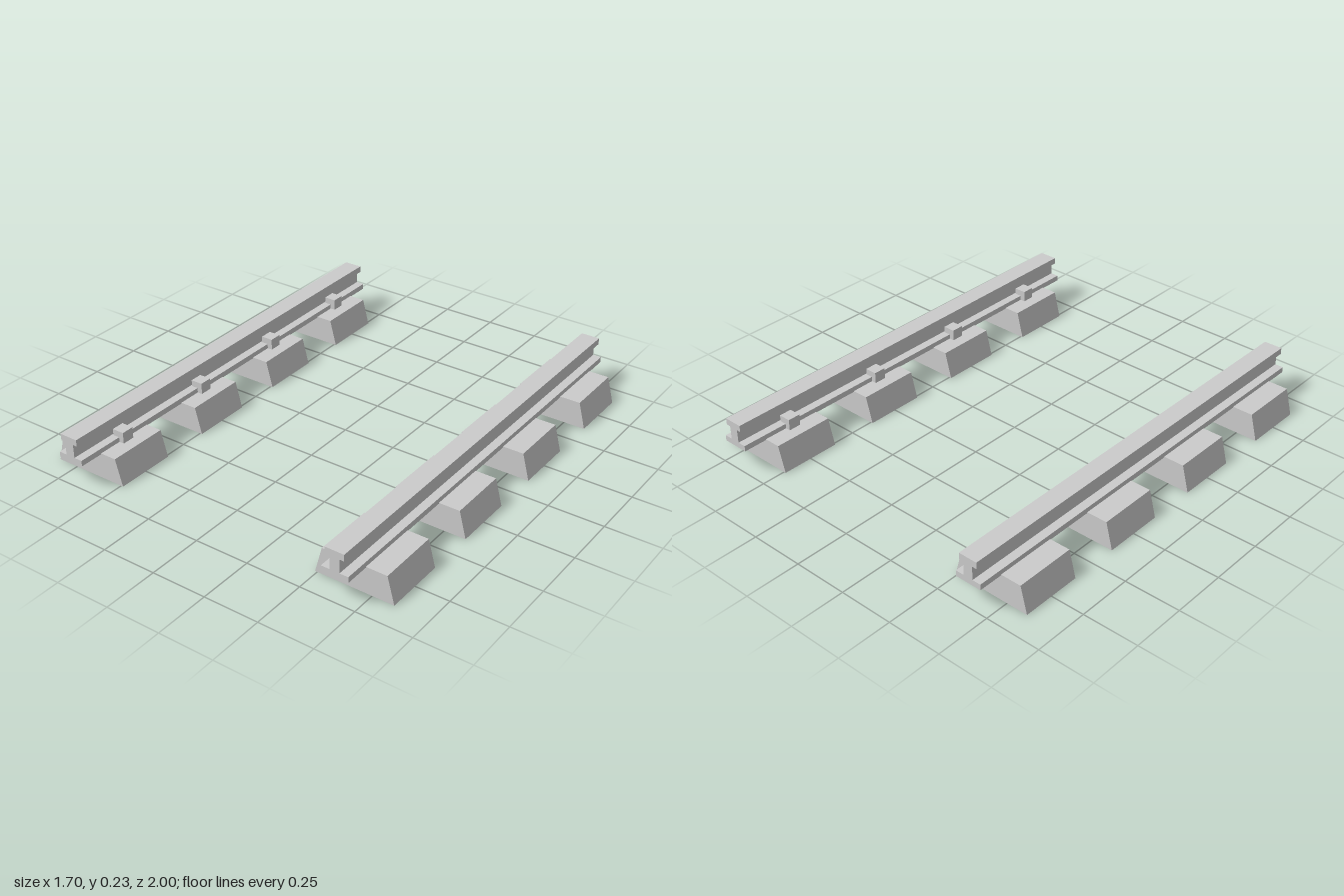
import * as THREE from 'three';

const material = new THREE.MeshStandardMaterial({ color: 0xcccccc, flatShading: true });

// Extrudes an x-y outline along z, centred on z = 0
function prism(points, length) {
  const shape = new THREE.Shape(points.map(([x, y]) => new THREE.Vector2(x, y)));
  const geometry = new THREE.ExtrudeGeometry(shape, { depth: length, bevelEnabled: false });
  return geometry.translate(0, 0, -length / 2);
}

function addPart(parent, name, geometry, x, y, z) {
  const mesh = new THREE.Mesh(geometry, material);
  mesh.name = name;
  mesh.position.set(x, y, z);
  parent.add(mesh);
}

// Right half of the rail section, bottom to top; mirrored for the left half
const halfRail = [[0.061, 0.117], [0.061, 0.143], [0.022, 0.143], [0.022, 0.205], [0.043, 0.205], [0.043, 0.235]];
const railOutline = [...halfRail, ...halfRail.map(([x, y]) => [-x, y]).reverse()];
const blockOutline = [[-0.179, 0], [0.179, 0], [0.147, 0.121], [-0.147, 0.121]];

export function createModel() {
  const model = new THREE.Group();
  model.name = 'railTrack';

  const railGeometry = prism(railOutline, 2);
  const blockGeometry = prism(blockOutline, 0.278);
  const clipGeometry = new THREE.BoxGeometry(0.056, 0.052, 0.058);

  for (const side of [1, -1]) {
    const track = new THREE.Group();
    track.name = side > 0 ? 'leftTrack' : 'rightTrack';
    addPart(track, 'rail', railGeometry, side * 0.66, 0, 0);
    for (const z of [-0.75, -0.25, 0.25, 0.75]) {
      // Tapered support block, with a clip on the inner foot of the rail
      addPart(track, 'supportBlock', blockGeometry, side * 0.669, 0, z);
      addPart(track, 'railClip', clipGeometry, side * 0.603, 0.146, z);
    }
    model.add(track);
  }
  return model;
}
